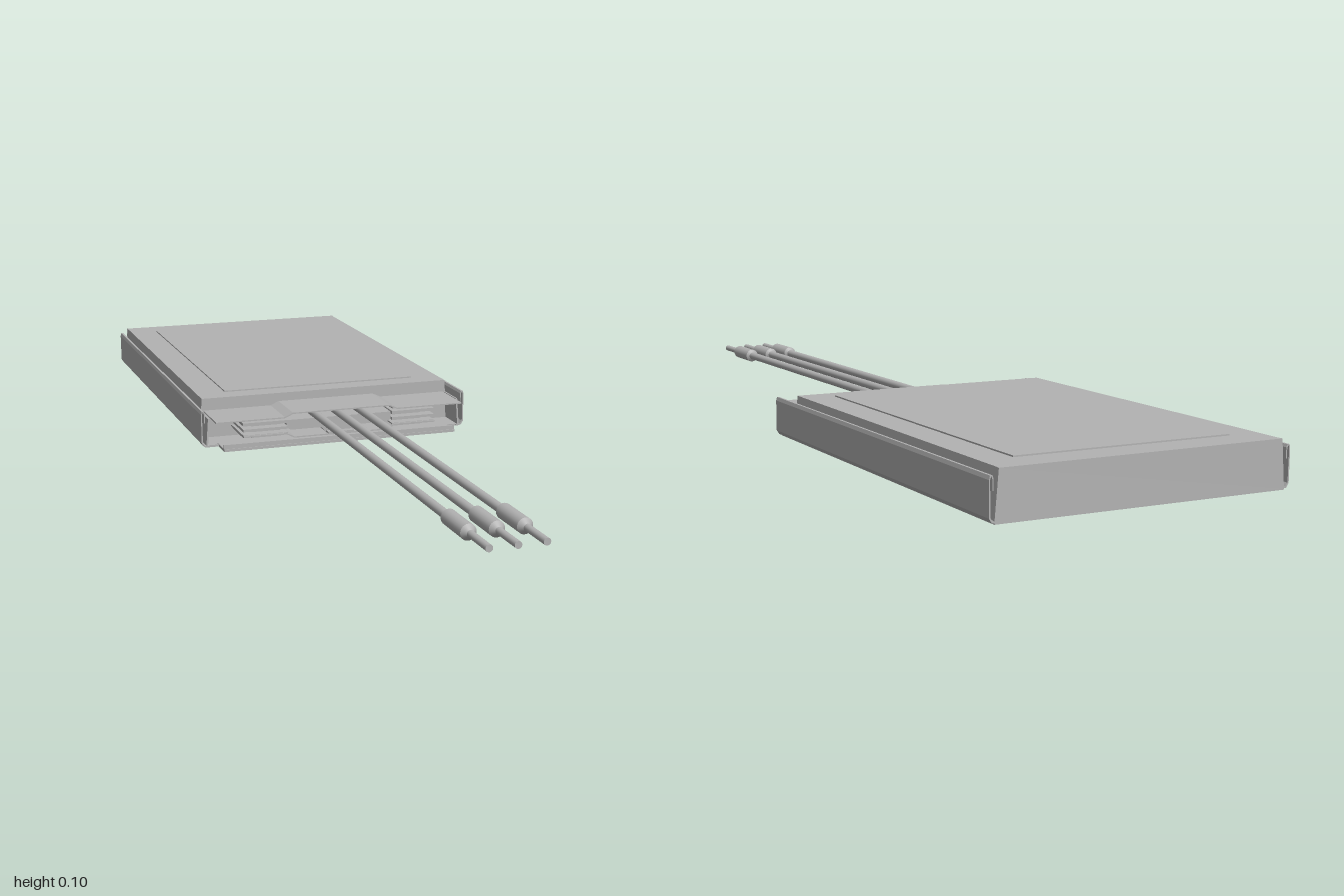
import * as THREE from 'three';

const metal = new THREE.MeshStandardMaterial({ color: 0xb2b2b2 });
metal.name = 'grey metal';

// extrude a closed x-y outline between two z positions
function prism(name, points, z0, z1) {
  const shape = new THREE.Shape(points.map(([x, y]) => new THREE.Vector2(x, y)));
  const geometry = new THREE.ExtrudeGeometry(shape, { depth: z1 - z0, bevelEnabled: false });
  geometry.translate(0, 0, z0);
  const mesh = new THREE.Mesh(geometry, metal);
  mesh.name = name;
  return mesh;
}

// box given by its limits
function block(name, x0, x1, y0, y1, z0, z1) {
  const mesh = new THREE.Mesh(new THREE.BoxGeometry(x1 - x0, y1 - y0, z1 - z0), metal);
  mesh.position.set((x0 + x1) / 2, (y0 + y1) / 2, (z0 + z1) / 2);
  mesh.name = name;
  return mesh;
}

// thin bent sheet: an x-y path given thickness downwards
function sheet(name, path, t, z0, z1) {
  return prism(name, [...path, ...path.slice().reverse().map(([x, y]) => [x, y - t])], z0, z1);
}

export function createModel() {
  const group = new THREE.Group();

  // flat case with sloping sides and a slightly raised lid panel
  group.add(prism('case', [[-0.316, 0.004], [0.316, 0.004], [0.309, 0.1], [-0.309, 0.1]], -0.995, -0.11));
  group.add(block('lidPanel', -0.24, 0.24, 0.099, 0.103, -0.93, -0.16));
  group.add(prism('backWall', [[-0.318, 0.002], [0.318, 0.002], [0.31, 0.1], [-0.31, 0.1]], -1, -0.994));
  group.add(block('basePlate', -0.318, 0.318, 0, 0.005, -1, -0.04));
  group.add(block('frontLip', -0.287, 0.287, 0, 0.006, -0.05, 0.012));
  group.add(block('lipFold', -0.287, 0.287, 0.006, 0.016, 0.006, 0.01));

  // side channels: outer flange with a curled top edge, and sloping inner wall
  for (const s of [-1, 1]) {
    const side = (pts) => pts.map(([x, y]) => [s * x, y]);
    group.add(prism('sideFlange', side([
      [0.31, 0.002], [0.323, 0.003], [0.329, 0.012], [0.3295, 0.08], [0.3275, 0.088], [0.3225, 0.088],
      [0.32, 0.082], [0.32, 0.06], [0.322, 0.06], [0.3225, 0.081], [0.325, 0.086], [0.327, 0.081],
      [0.326, 0.013], [0.321, 0.006], [0.31, 0.005],
    ]), -1, -0.035));
    group.add(prism('sideWall', side([[0.314, 0.004], [0.318, 0.004], [0.313, 0.07], [0.309, 0.07]]), -0.12, -0.035));

    // contact strips and their stops
    group.add(block('upperStrip', Math.min(s * 0.13, s * 0.238), Math.max(s * 0.13, s * 0.238), 0.054, 0.061, -0.1, 0));
    group.add(block('middleStrip', Math.min(s * 0.13, s * 0.238), Math.max(s * 0.13, s * 0.238), 0.04, 0.046, -0.1, 0));
    group.add(block('lowerStrip', Math.min(s * 0.13, s * 0.238), Math.max(s * 0.13, s * 0.238), 0.026, 0.032, -0.1, 0));
    group.add(block('stripStop', Math.min(s * 0.14, s * 0.212), Math.max(s * 0.14, s * 0.212), 0.018, 0.069, -0.1, -0.025));
  }

  // front ledge with a raised middle, and the matching tray below
  group.add(sheet('frontLedge', [[-0.305, 0.071], [-0.14, 0.071], [-0.12, 0.08], [0.12, 0.08], [0.14, 0.071], [0.305, 0.071]],
    0.003, -0.115, 0.01));
  group.add(sheet('lowerTray', [[-0.238, 0.031], [-0.135, 0.031], [-0.115, 0.021], [0.115, 0.021], [0.135, 0.031], [0.238, 0.031]],
    0.003, -0.11, 0.005));

  // cable holder in the middle
  group.add(prism('cableHolder', [[-0.12, 0.034], [-0.045, 0.034], [-0.035, 0.024], [0.035, 0.024], [0.045, 0.034],
    [0.12, 0.034], [0.13, 0.04], [0.13, 0.058], [-0.13, 0.058], [-0.13, 0.04]], -0.1, -0.01));
  group.add(block('holderFoot', -0.032, 0.032, 0.019, 0.025, -0.1, 0.005));

  // three cables, each with a sleeve, tapered collar and bare tip
  const profile = [[0, -0.1], [0.0095, -0.1], [0.0095, 0.805], [0.0165, 0.81], [0.0165, 0.905], [0.0075, 0.915], [0.0075, 1], [0, 1]];
  const points = [];
  profile.forEach(([r, z]) => points.push(new THREE.Vector2(r, z)));
  for (const x of [-0.057, 0, 0.057]) {
    const cable = new THREE.Group();
    cable.name = 'cable';
    // separate lathe bands keep the steps crisp
    for (let i = 0; i < points.length - 1; i++) {
      const band = new THREE.Mesh(new THREE.LatheGeometry([points[i], points[i + 1]], 24), metal);
      band.name = 'cableSection';
      cable.add(band);
    }
    cable.rotation.x = Math.PI / 2;
    cable.position.set(x, 0.066, 0);
    group.add(cable);
  }
  return group;
}
